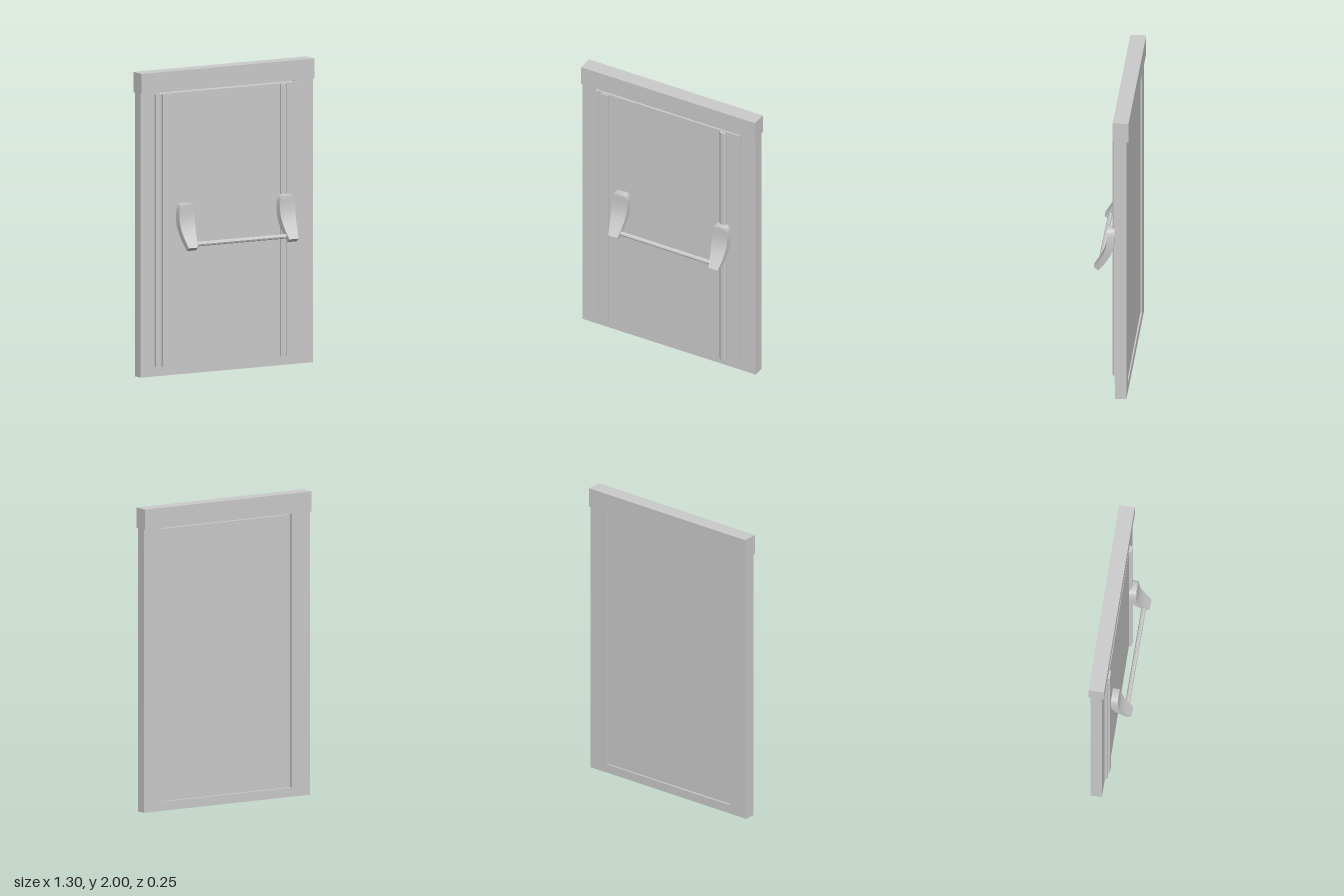
import * as THREE from 'three';
import { toCreasedNormals } from 'three/addons/utils/BufferGeometryUtils.js';

const mat = new THREE.MeshStandardMaterial({ color: 0xcccccc });

function add(parent, name, geometry) {
  const mesh = new THREE.Mesh(geometry, mat);
  mesh.name = name;
  parent.add(mesh);
  return mesh;
}

// box given by its limits
function box(parent, name, x0, x1, y0, y1, z0, z1) {
  const mesh = add(parent, name, new THREE.BoxGeometry(x1 - x0, y1 - y0, z1 - z0));
  mesh.position.set((x0 + x1) / 2, (y0 + y1) / 2, (z0 + z1) / 2);
  return mesh;
}

function rectangle(target, x0, x1, y0, y1) {
  return target.moveTo(x0, y0).lineTo(x1, y0).lineTo(x1, y1).lineTo(x0, y1).closePath();
}

// curved lever: rectangular sections swept down and outwards
function leverGeometry() {
  // half width, front y, front z, back y, back z
  const rows = [
    [0.030, 1.130, 0.033, 1.130, -0.014], [0.042, 1.126, 0.034, 1.126, -0.014],
    [0.050, 1.113, 0.035, 1.113, -0.014], [0.054, 1.090, 0.035, 1.088, -0.014],
    [0.057, 1.045, 0.036, 1.035, -0.012], [0.056, 1.000, 0.043, 0.985, -0.003],
    [0.052, 0.955, 0.058, 0.940, 0.016], [0.045, 0.905, 0.085, 0.885, 0.049],
    [0.034, 0.850, 0.122, 0.828, 0.092],
  ];
  const pos = [], idx = [];
  rows.forEach(([w, fy, fz, by, bz], i) => {
    pos.push(-w, fy, fz, w, fy, fz, w, by, bz, -w, by, bz);
    if (i === 0) return;
    for (let k = 0; k < 4; k++) {
      const a = (i - 1) * 4 + k, b = (i - 1) * 4 + (k + 1) % 4;
      idx.push(a, a + 4, b, b, a + 4, b + 4);
    }
  });
  const e = (rows.length - 1) * 4;
  idx.push(0, 1, 2, 0, 2, 3, e, e + 2, e + 1, e, e + 3, e + 2);
  const g = new THREE.BufferGeometry();
  g.setAttribute('position', new THREE.Float32BufferAttribute(pos, 3));
  g.setIndex(idx);
  return toCreasedNormals(g, 0.6);
}

export function createModel() {
  const model = new THREE.Group();
  model.name = 'emergencyExitDoor';

  // surround and header, very slightly out of square
  const surround = new THREE.Group();
  surround.name = 'surround';
  surround.rotation.y = 0.005;
  model.add(surround);
  const outline = rectangle(new THREE.Shape(), -0.645, 0.645, 0, 1.87);
  outline.holes.push(rectangle(new THREE.Path(), -0.505, 0.51, 0.06, 1.864));
  const frame = add(surround, 'frame', new THREE.ExtrudeGeometry(outline, { depth: 0.074, bevelEnabled: false }));
  frame.position.z = -0.106;
  box(surround, 'header', -0.648, 0.648, 1.867, 2, -0.12, -0.017);

  // door leaf with a lip overlapping the frame on both sides
  const door = new THREE.Group();
  door.name = 'door';
  door.rotation.y = 0.009;
  model.add(door);
  box(door, 'leaf', -0.495, 0.508, 0.062, 1.857, -0.097, -0.022);
  box(door, 'lip', -0.49, 0.535, 0.062, 1.857, -0.032, -0.016);
  box(door, 'hingeStop', -0.54, -0.52, 0.062, 1.857, -0.034, -0.014);
  box(door, 'hingeCover', -0.52, -0.495, 0.062, 1.857, -0.034, -0.022);
  box(door, 'hingeStrip', -0.495, -0.44, 0.062, 1.852, -0.03, -0.005);
  box(door, 'panel', -0.4, 0.39, 0.062, 1.857, -0.03, -0.0145);

  // chamfered latch rod running the full height
  const rodShape = new THREE.Shape([
    [0.39, 0.025], [0.435, 0.025], [0.435, 0.01], [0.428, 0], [0.4, 0], [0.39, 0.01],
  ].map(([x, z]) => new THREE.Vector2(x, z)));
  const rod = add(door, 'latchRod', new THREE.ExtrudeGeometry(rodShape, { depth: 1.79, bevelEnabled: false }));
  rod.rotation.x = Math.PI / 2;
  rod.position.set(0, 1.852, 0.004);
  rod.scale.y = -1; // turn the chamfer towards the front

  // panic bar between two curved levers
  const lever = leverGeometry();
  [[-0.335, 'rightLever'], [0.415, 'leftLever']].forEach(([x, name]) => {
    add(model, name, lever).position.x = x;
  });
  const bar = add(model, 'pushBar', toCreasedNormals(new THREE.CylinderGeometry(0.015, 0.015, 0.74, 8), 0.4));
  bar.rotation.z = Math.PI / 2;
  bar.position.set(0.04, 0.866, 0.083);
  return model;
}
